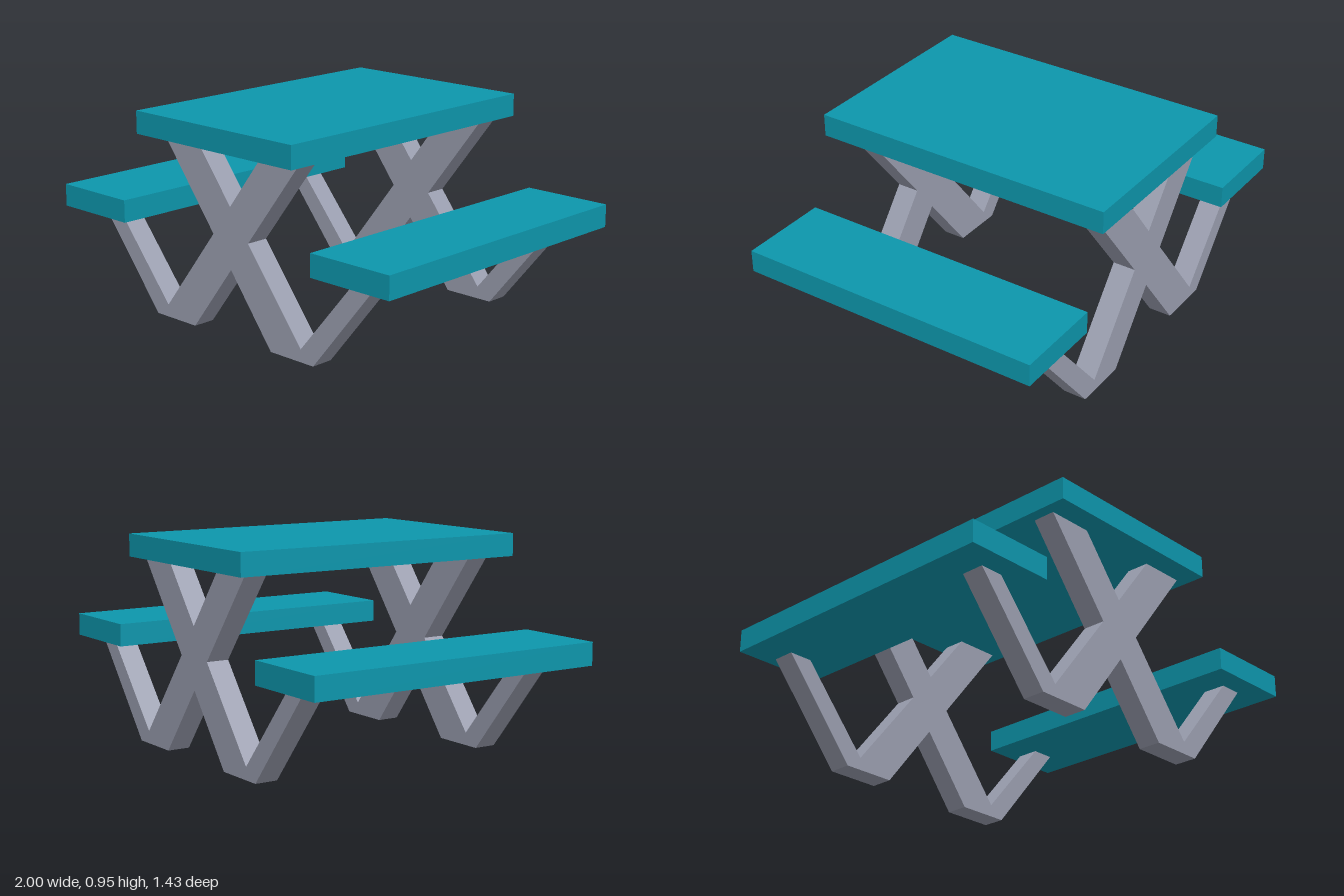
import * as THREE from 'three';

export function createModel() {
  const group = new THREE.Group();
  const plank = new THREE.MeshStandardMaterial({ color: 0x0d96ac, flatShading: true });
  const metal = new THREE.MeshStandardMaterial({ color: 0x9a9eaf, flatShading: true });
  const length = 1.426;

  // Flat slab running the full length, from its x and y limits
  const slab = (name, x0, x1, y0, y1) => {
    const mesh = new THREE.Mesh(new THREE.BoxGeometry(x1 - x0, y1 - y0, length), plank);
    mesh.position.set((x0 + x1) / 2, (y0 + y1) / 2, 0);
    mesh.name = name;
    group.add(mesh);
  };
  slab('tableTop', -0.475, 0.475, 0.85, 0.953);
  slab('leftBench', 0.578, 1, 0.428, 0.531);
  slab('rightBench', -1, -0.578, 0.428, 0.531);

  // Half outline of the crossed legs with bench arms, from bottom crotch to top crotch
  const half = [
    [0, 0.31], [0.24, 0], [0.49, 0], [0.843, 0.428], [0.733, 0.428],
    [0.418, 0.057], [0.108, 0.45], [0.42, 0.85], [0.203, 0.85], [0, 0.59],
  ];
  const mirrored = half.slice(1, -1).reverse().map(([x, y]) => [-x, y]);
  const outline = [...half, ...mirrored].map(([x, y]) => new THREE.Vector2(x, y));
  const frame = new THREE.ExtrudeGeometry(new THREE.Shape(outline), { depth: 0.105, bevelEnabled: false });

  // One frame near each end
  for (const [name, z] of [['frontLegFrame', 0.503], ['backLegFrame', -0.66]]) {
    const mesh = new THREE.Mesh(frame, metal);
    mesh.position.z = z;
    mesh.name = name;
    group.add(mesh);
  }
  return group;
}
